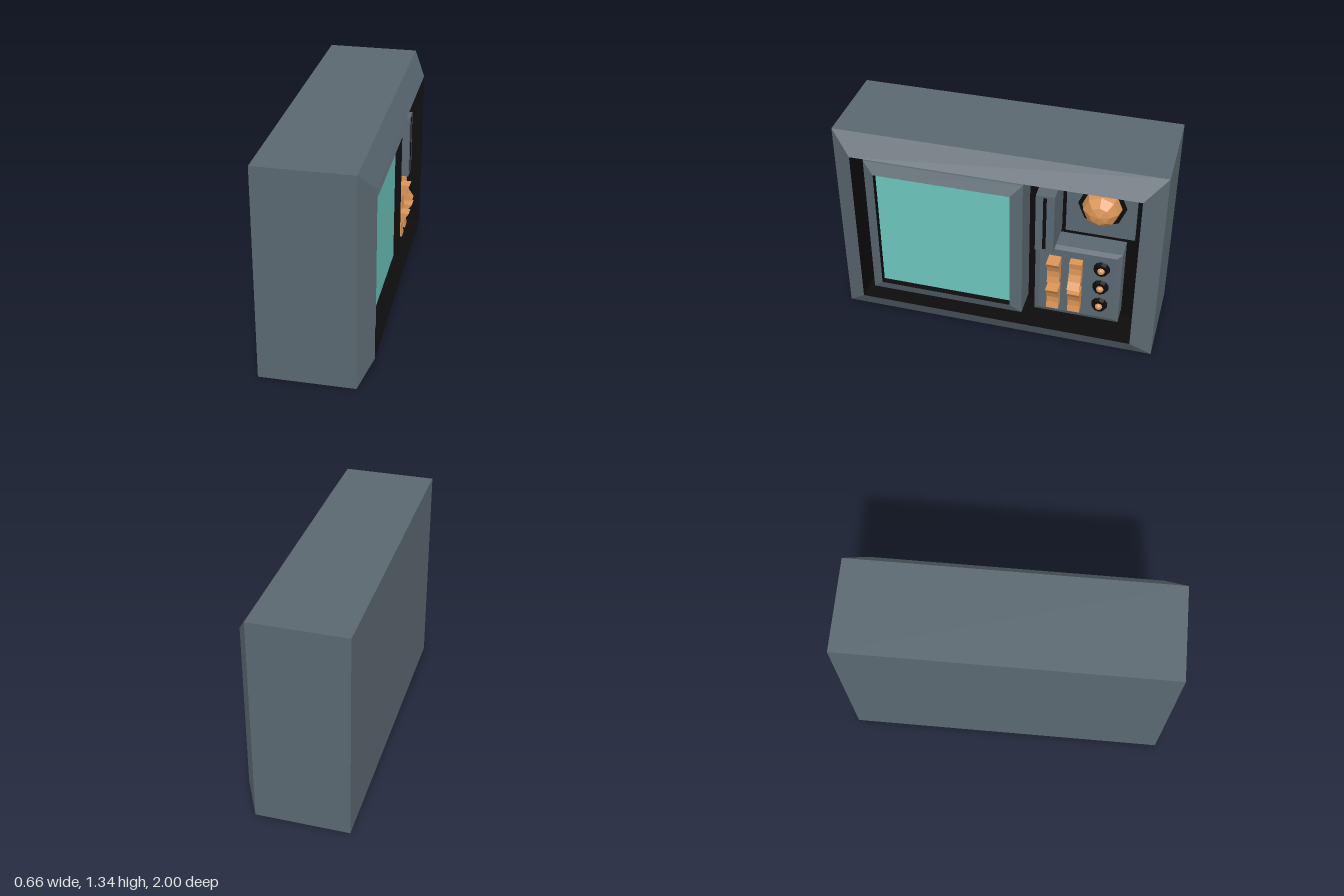
import * as THREE from 'three';

const mat = (name, color) => Object.assign(new THREE.MeshStandardMaterial({ color }), { name });

// Flat-shaded shell lofted through rectangles [x0, x1, y0, y1, z]; caps close the first / last one.
function loft(rings, { start = false, end = false } = {}) {
  const pos = [];
  const corners = ([x0, x1, y0, y1, z]) => [[x0, y0, z], [x1, y0, z], [x1, y1, z], [x0, y1, z]];
  const quad = (a, b, c, d) => pos.push(...a, ...b, ...c, ...a, ...c, ...d);
  const c = rings.map(corners);
  for (let r = 0; r < c.length - 1; r++) {
    for (let i = 0; i < 4; i++) {
      const j = (i + 1) % 4;
      quad(c[r][i], c[r][j], c[r + 1][j], c[r + 1][i]);
    }
  }
  if (start) quad(...c[0].slice().reverse());
  if (end) quad(...c[c.length - 1]);
  const g = new THREE.BufferGeometry();
  g.setAttribute('position', new THREE.Float32BufferAttribute(pos, 3));
  g.computeVertexNormals();
  return g;
}

// Faceted half sphere bulging towards +z.
function dome(radius, sides, rings) {
  const g = new THREE.SphereGeometry(radius, sides, rings, 0, Math.PI * 2, 0, Math.PI / 2);
  g.rotateX(Math.PI / 2);
  const flat = g.toNonIndexed();
  flat.computeVertexNormals();
  return flat;
}

// Short faceted disc whose axis is z, sitting on z = 0.
function disc(rBack, rFront, depth, sides) {
  const g = new THREE.CylinderGeometry(rFront, rBack, depth, sides);
  g.rotateX(Math.PI / 2);
  g.translate(0, 0, depth / 2);
  const flat = g.toNonIndexed();
  flat.computeVertexNormals();
  return flat;
}

// Rocker with a scooped front; the tall end is at the top unless flipped.
function rocker(width, height, flip) {
  const h = height / 2;
  const s = flip ? -1 : 1;
  const front = [[0.13, 1], [0.1, 0.5], [0.082, 0], [0.08, -0.5], [0.088, -1]];
  const pts = [[0, s * h], ...front.map(([d, t]) => [d, s * t * h]), [0, -s * h]];
  const shape = new THREE.Shape(pts.map(([x, y]) => new THREE.Vector2(x, y)));
  const g = new THREE.ExtrudeGeometry(shape, { depth: width, bevelEnabled: false });
  g.translate(0, 0, -width / 2);
  g.rotateY(-Math.PI / 2);
  return g;
}

export function createModel() {
  const steel = mat('slate casing', 0x5a6870);
  const black = mat('black recess', 0x0c0c0c);
  const teal = mat('teal screen', 0x6cc4bb);
  const orange = mat('orange controls', 0xdb9556);

  const model = new THREE.Group();
  model.name = 'wallMonitor';
  // Parts are laid out facing +z, then turned to face +x.
  const unit = new THREE.Group();
  unit.name = 'monitorUnit';
  unit.rotation.y = Math.PI / 2;
  model.add(unit);

  const add = (name, geometry, material, x = 0, y = 0, z = 0) => {
    const m = new THREE.Mesh(geometry, material);
    m.name = name;
    m.position.set(x, y, z);
    unit.add(m);
    return m;
  };
  const back = 0.09;

  // Casing with sloped rim, and the recess inside it
  const rim = [-0.87, 0.87, 0.13, 1.21];
  add('casing', loft([[-1, 1, 0, 1.34, -0.33], [-1, 1, 0, 1.34, 0.25], [...rim, 0.33]], { start: true }), steel);
  add('recess', loft([[...rim, 0.33], [...rim, back]], { end: true }), black);

  // Screen with its sloped frame
  const outer = [-0.81, 0.17, 0.18, 1.16];
  const inner = [-0.74, 0.1, 0.255, 1.09];
  add('screenFrame', loft([[...outer, back], [...outer, 0.275], [...inner, 0.31]]), steel);
  add('screenReveal', loft([[...inner, 0.31], [...inner, 0.27]]), black);
  add('screen', loft([[...inner, 0.27]], { end: true }), teal);

  // Card slot housing
  const slotBox = [0.26, 0.372, 0.753, 1.15];
  add('slotHousing', loft([[...slotBox, back], [...slotBox, 0.33]], { end: true }), steel);
  add('slot', new THREE.BoxGeometry(0.02, 0.37, 0.006), black, 0.315, 0.953, 0.33);

  // Dial panel with a large faceted dial
  const dialPanel = [0.4, 0.82, 0.77, 1.186];
  add('dialPanel', loft([[...dialPanel, back], [...dialPanel, 0.12]], { end: true }), steel);
  add('dialRing', disc(0.145, 0.145, 0.012, 8), black, 0.616, 0.993, 0.12);
  add('dial', dome(0.12, 8, 3), orange, 0.616, 0.993, 0.13);

  // Control panel
  const panel = [0.24, 0.772, 0.19, 0.727];
  add('controlPanel', loft([[...panel, back], [...panel, 0.22], [0.272, 0.74, 0.22, 0.7, 0.235]], { end: true }), steel);

  // Rocker switches, two by two
  [0.367, 0.5].forEach((x, col) => [0.565, 0.361].forEach((y, row) => {
    add('rockerSwitch', rocker(0.076, 0.173, col === 1 && row === 0), orange, x, y, 0.2);
  }));

  // Small knobs
  for (const y of [0.608, 0.468, 0.327]) {
    add('knobBase', disc(0.052, 0.042, 0.025, 10), black, 0.653, y, 0.234);
    add('knobTip', dome(0.024, 10, 3), orange, 0.653, y, 0.257);
  }

  return model;
}
